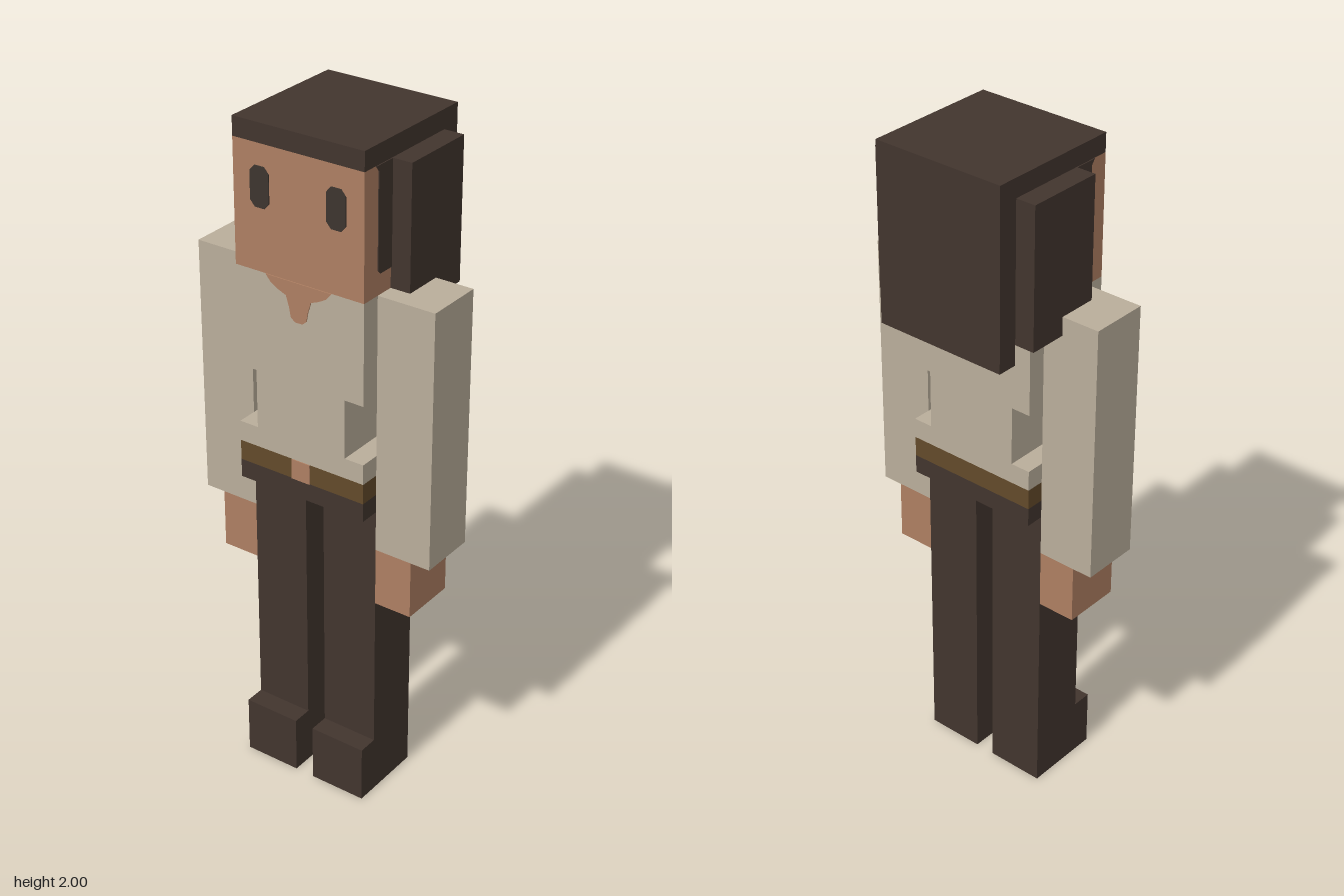
import * as THREE from 'three';

const mat = (name, color) => {
  const m = new THREE.MeshStandardMaterial({ color });
  m.name = name;
  return m;
};

export function createModel() {
  const model = new THREE.Group();
  model.name = 'blockFigure';
  const skin = mat('skin', 0xae7f62);
  const dark = mat('darkBrown', 0x42352e);
  const shirt = mat('shirtBeige', 0xbaae9b);
  const belt = mat('beltBrown', 0x634a2a);
  const eye = mat('eyeDark', 0x3d352f);

  const add = (name, geometry, material) => {
    const mesh = new THREE.Mesh(geometry, material);
    mesh.name = name;
    model.add(mesh);
    return mesh;
  };
  // Box given by its lower and upper limits on each axis
  const box = (name, material, [x0, x1], [y0, y1], [z0, z1]) =>
    add(name, new THREE.BoxGeometry(x1 - x0, y1 - y0, z1 - z0), material)
      .position.set((x0 + x1) / 2, (y0 + y1) / 2, (z0 + z1) / 2);
  const prism = (points, depth) => new THREE.ExtrudeGeometry(
    new THREE.Shape(points.map(([x, y]) => new THREE.Vector2(x, y))),
    { depth, bevelEnabled: false });

  const W = 0.205;      // half width of head and torso
  const F = 0.205;      // front plane
  const T = 0.003;      // thickness of painted plates
  const limbZ = [-0.03, 0.145];

  // Head and hair
  box('head', skin, [-W, W], [1.59, 1.945], [-0.145, F]);
  box('hairTop', dark, [-W, W], [1.945, 2], [-0.145, F]);
  box('hairBack', dark, [-W, W], [1.475, 2], [-0.205, -0.145]);

  // Shirt with a notch cut through each side of the waist
  const half = [[W, 1.06], [W, 1.12], [0.145, 1.12], [0.145, 1.295], [W, 1.295], [W, 1.59]];
  const mirrored = half.map(([x, y]) => [-x, y]).reverse();
  add('shirt', prism([...half, ...mirrored], 0.29), shirt).position.z = -0.085;

  // Belt, buckle and hips
  box('belt', belt, [-W, W], [1, 1.06], [-0.085, F]);
  box('buckle', skin, [-0.03, 0.03], [1, 1.06], [F, F + T]);
  box('hips', dark, [-W, W], [0.945, 1], [-0.085, F]);

  // Open collar
  const collar = [[0.025, 1.488], [0.03, 1.515], [0.04, 1.547], [0.065, 1.557], [0.088, 1.57], [0.105, 1.59]];
  const collarLeft = collar.map(([x, y]) => [-x, y]).reverse();
  add('collarOpening', prism([[0.012, 1.477], ...collar, ...collarLeft, [-0.012, 1.477]], T), skin)
    .position.z = F;

  // Painted hair edge on the side of the head, drawn as (z, y)
  const hairEdge = [[0.085, 1.65], [0.137, 1.65], [0.147, 1.66], [0.147, 1.93], [0.158, 1.945], [0.085, 1.945]];

  for (const [side, s] of [['left', 1], ['right', -1]]) {
    const span = (a, b) => (s > 0 ? [a, b] : [-b, -a]);
    box(side + 'HairSide', dark, span(W, 0.265), [1.535, 1.945], [-0.145, 0.088]);
    const edge = add(side + 'HairEdge', prism(hairEdge, T), dark);
    edge.rotation.y = -Math.PI / 2;
    edge.position.x = s > 0 ? W + T : -W;

    // Eye with clipped corners
    const eyeShape = [[-0.015, -0.057], [0.015, -0.057], [0.03, -0.04], [0.03, 0.04],
      [0.015, 0.057], [-0.015, 0.057], [-0.03, 0.04], [-0.03, -0.04]];
    add(side + 'Eye', prism(eyeShape, T), eye).position.set(s * 0.12, 1.827, F);

    // Arm and hand
    box(side + 'Sleeve', shirt, span(W, 0.38), [0.825, 1.59], limbZ);
    box(side + 'Hand', skin, span(W, 0.32), [0.65, 0.825], limbZ);

    // Leg and shoe
    box(side + 'Leg', dark, span(0.03, W), [0.175, 0.945], limbZ);
    box(side + 'Shoe', dark, span(0.03, W), [0, 0.175], [-0.03, F]);
  }
  return model;
}
